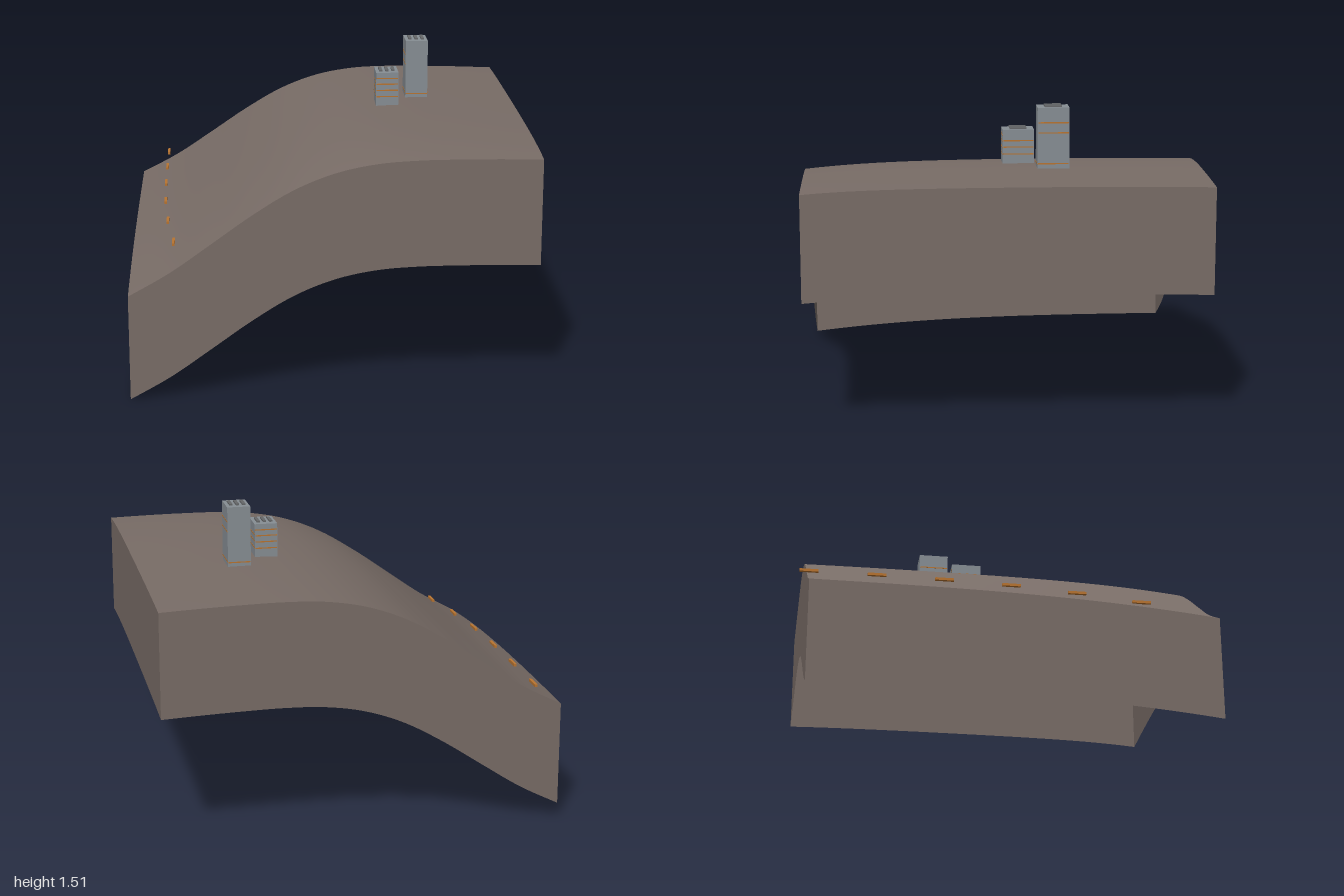
import * as THREE from 'three';

const mat = (name, color, side = THREE.FrontSide) => {
  const m = new THREE.MeshStandardMaterial({ color, side });
  m.name = name;
  return m;
};

// Ground height: a slope profile along x that sags towards the front edge
const profile = new THREE.SplineCurve(
  [0.52, 0.632, 0.77, 0.91, 1.03, 1.11, 1.152, 1.167, 1.17, 1.169, 1.165]
    .map((y, i) => new THREE.Vector2(-0.98 + i * 0.196, y)));
const Z_FRONT = 1, Z_BACK = -0.957, WALL = 0.52;

function groundPoint(u, t) {
  const p = profile.getPoint(u);
  const s = (p.x + 0.98) / 1.96;
  const sag = 0.077 - 0.078 * s + 0.026 * s * s;
  const y = p.y + sag * (1 - Math.pow(1 - t, 3 + 4 * s)) - 0.01 * s * Math.pow(t, 6);
  return new THREE.Vector3(p.x, y, Z_FRONT + (Z_BACK - Z_FRONT) * t);
}

// Grid surface from point(a, b), a and b in 0..1
function surface(point, na, nb) {
  const pos = [], index = [];
  for (let j = 0; j <= nb; j++)
    for (let i = 0; i <= na; i++) pos.push(...point(i / na, j / nb).toArray());
  for (let j = 0; j < nb; j++)
    for (let i = 0; i < na; i++) {
      const a = j * (na + 1) + i, c = a + na + 1;
      index.push(a, a + 1, c + 1, a, c + 1, c);
    }
  const g = new THREE.BufferGeometry();
  g.setAttribute('position', new THREE.Float32BufferAttribute(pos, 3));
  g.setIndex(index);
  g.computeVertexNormals();
  return g;
}

export function createModel() {
  const model = new THREE.Group();
  model.name = 'hillsideBlock';
  const earth = mat('earth', 0x786c66, THREE.DoubleSide);
  const concrete = mat('towerGrey', 0x878e94);
  const vent = mat('ventGrey', 0x66686a);
  const amber = mat('amber', 0xb87430);

  const add = (parent, name, geometry, material, x = 0, y = 0, z = 0) => {
    const m = new THREE.Mesh(geometry, material);
    m.name = name;
    m.position.set(x, y, z);
    parent.add(m);
    return m;
  };
  const box = (w, h, d) => new THREE.BoxGeometry(w, h, d);

  // Open-bottomed ground: curved top and four hanging walls
  const ground = new THREE.Group();
  ground.name = 'ground';
  model.add(ground);
  add(ground, 'groundTop', surface(groundPoint, 48, 32), earth);
  const wall = (name, edge) => add(ground, name, surface((a, b) => {
    const p = edge(a);
    p.y -= WALL * (1 - b);
    return p;
  }, 48, 1), earth);
  wall('frontWall', a => groundPoint(a, 0));
  wall('leftWall', a => groundPoint(1, a));
  wall('backWall', a => groundPoint(1 - a, 1));
  wall('rightWall', a => groundPoint(0, 1 - a));

  // Towers with thin bands on each face and three roof vents
  function tower(name, x, z, top, frontBands, sideBands) {
    const W = 0.115, D = 0.156, base = 1.175;
    const g = new THREE.Group();
    g.name = name;
    g.position.set(x, 0, z);
    model.add(g);
    add(g, 'towerBody', box(W, top - base, D), concrete, 0, (top + base) / 2, 0);
    for (const s of [-1, 1]) {
      for (const y of frontBands) add(g, 'windowBand', box(W * 0.96, 0.006, 0.002), amber, 0, y, s * D / 2);
      for (const y of sideBands) add(g, 'windowBand', box(0.002, 0.006, D * 0.96), amber, s * W / 2, y, 0);
    }
    for (const i of [-1, 0, 1])
      add(g, 'roofVent', box(0.016, 0.008, 0.084), vent, i * 0.032, top + 0.004, 0);
  }
  tower('shortTower', 0.322, -0.062, 1.37, [1.245, 1.278, 1.31, 1.34], [1.248, 1.283, 1.315]);
  tower('tallTower', 0.487, -0.223, 1.502, [1.222], [1.226, 1.378, 1.428]);

  // Row of marker bars along the slope
  const markers = [[-0.835, 0.713], [-0.835, 0.713], [-0.833, 0.711], [-0.826, 0.706], [-0.806, 0.696], [-0.77, 0.685]];
  markers.forEach(([x, y], i) =>
    add(model, 'slopeMarker', box(0.013, 0.013, 0.09), amber, x, y, -0.955 + i * 0.325));

  return model;
}
